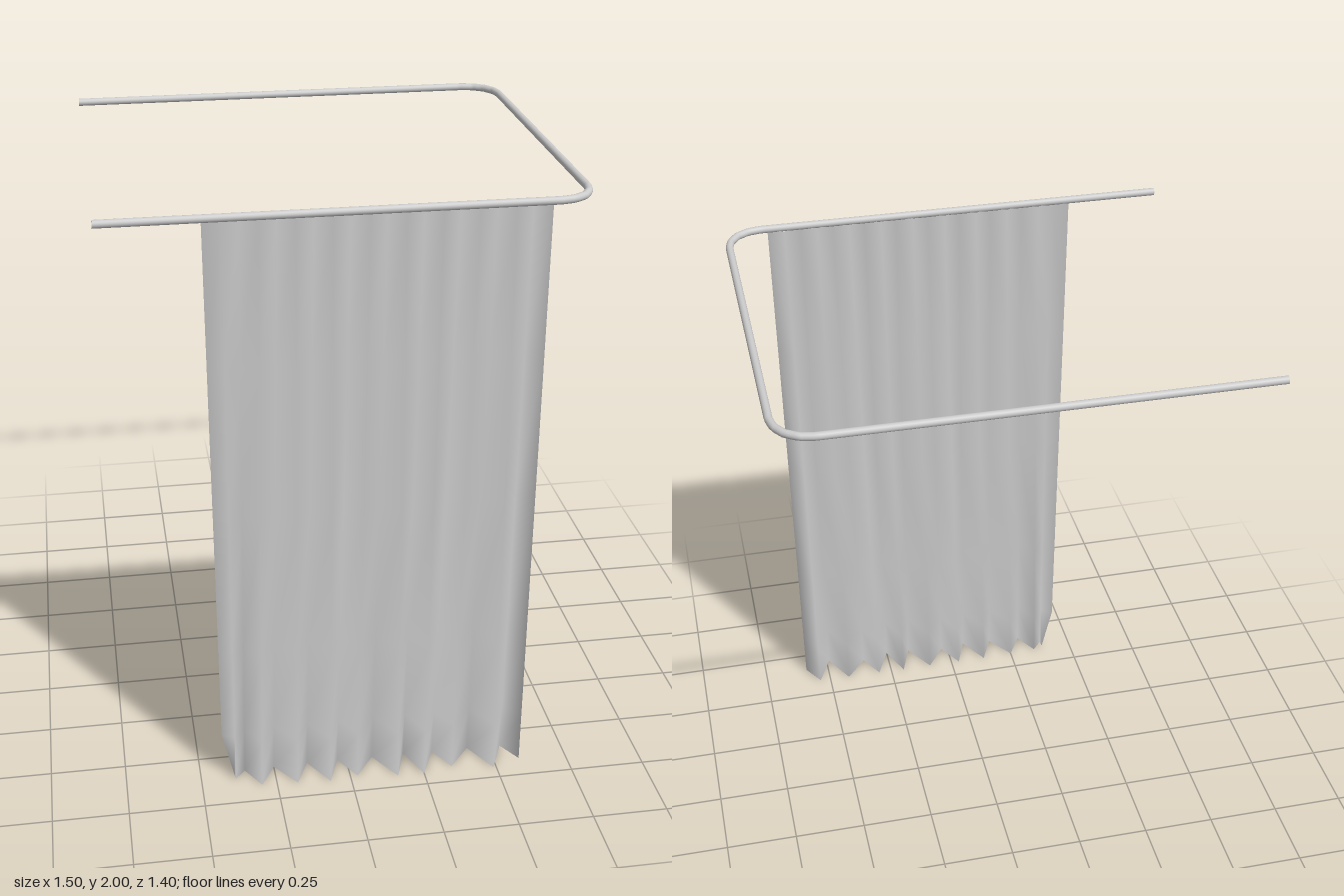
import * as THREE from 'three';

const grey = (side = THREE.FrontSide) => new THREE.MeshStandardMaterial({ color: 0xcccccc, side });
const ROD_Y = 1.9875, ROD_R = 0.0125;
const FRONT_Z = 0.617, BACK_Z = -0.688, SIDE_X = 0.738, END_X = -0.75, BEND = 0.115;

// U-shaped rail with two rounded, faceted corners
function createRail() {
  const rail = new THREE.Group();
  rail.name = 'curtainRail';
  const points = [[END_X, BACK_Z]];
  const corner = (cz, from) => {
    for (let i = 0; i <= 4; i++) {
      const a = from + (i / 4) * Math.PI / 2;
      points.push([SIDE_X - BEND + BEND * Math.cos(a), cz + BEND * Math.sin(a)]);
    }
  };
  corner(BACK_Z + BEND, -Math.PI / 2);
  corner(FRONT_Z - BEND, 0);
  points.push([END_X, FRONT_Z]);
  const path = new THREE.CurvePath();
  const at = ([x, z]) => new THREE.Vector3(x, ROD_Y, z);
  for (let i = 1; i < points.length; i++) path.add(new THREE.LineCurve3(at(points[i - 1]), at(points[i])));
  const tube = new THREE.Mesh(new THREE.TubeGeometry(path, 240, ROD_R, 16), grey());
  tube.name = 'railTube';
  rail.add(tube);
  for (const z of [BACK_Z, FRONT_Z]) {
    const cap = new THREE.Mesh(new THREE.CircleGeometry(ROD_R, 16), grey());
    cap.name = 'railEndCap';
    cap.rotation.y = -Math.PI / 2;
    cap.position.set(END_X, ROD_Y, z);
    rail.add(cap);
  }
  return rail;
}

// Pleated curtain: nearly flat at the rail, folds deepen towards the hem
function createCurtain() {
  // hem fold points [x, z], alternating back and front
  const hem = [
    [-0.425, 0.6], [-0.385, 0.625], [-0.35, 0.585], [-0.3, 0.67], [-0.25, 0.58], [-0.18, 0.677],
    [-0.135, 0.576], [-0.07, 0.685], [-0.03, 0.577], [0.025, 0.67], [0.09, 0.578], [0.16, 0.692],
    [0.2, 0.576], [0.25, 0.695], [0.3, 0.58], [0.35, 0.67], [0.425, 0.58], [0.49, 0.698],
    [0.54, 0.585], [0.588, 0.662],
  ];
  const TOP = 1.98, KINK = 0.17, n = hem.length;
  const heights = [TOP, 1.5, 1, 0.5, KINK, 0];
  const positions = [], index = [];
  heights.forEach((y, r) => {
    const t = 1 - y / TOP;
    hem.forEach(([hx, hz], i) => {
      const topX = -0.44 + 1.04 * i / (n - 1);
      const topZ = 0.611 + (i % 2 ? 0.009 : -0.009);
      // the free corner tucks in near the hem
      const tuck = i === 0 && y === 0 ? 0.038 : 0;
      positions.push(THREE.MathUtils.lerp(topX, hx, t) + tuck, y, THREE.MathUtils.lerp(topZ, hz, t));
      if (r && i) {
        const d = r * n + i, c = d - 1, b = d - n, a = b - 1;
        index.push(a, c, b, b, c, d);
      }
    });
  });
  const geometry = new THREE.BufferGeometry();
  geometry.setAttribute('position', new THREE.Float32BufferAttribute(positions, 3));
  geometry.setIndex(index);
  geometry.computeVertexNormals();
  const curtain = new THREE.Mesh(geometry, grey(THREE.DoubleSide));
  curtain.name = 'curtain';
  return curtain;
}

export function createModel() {
  const model = new THREE.Group();
  model.name = 'showerCurtain';
  model.add(createRail(), createCurtain());
  return model;
}
